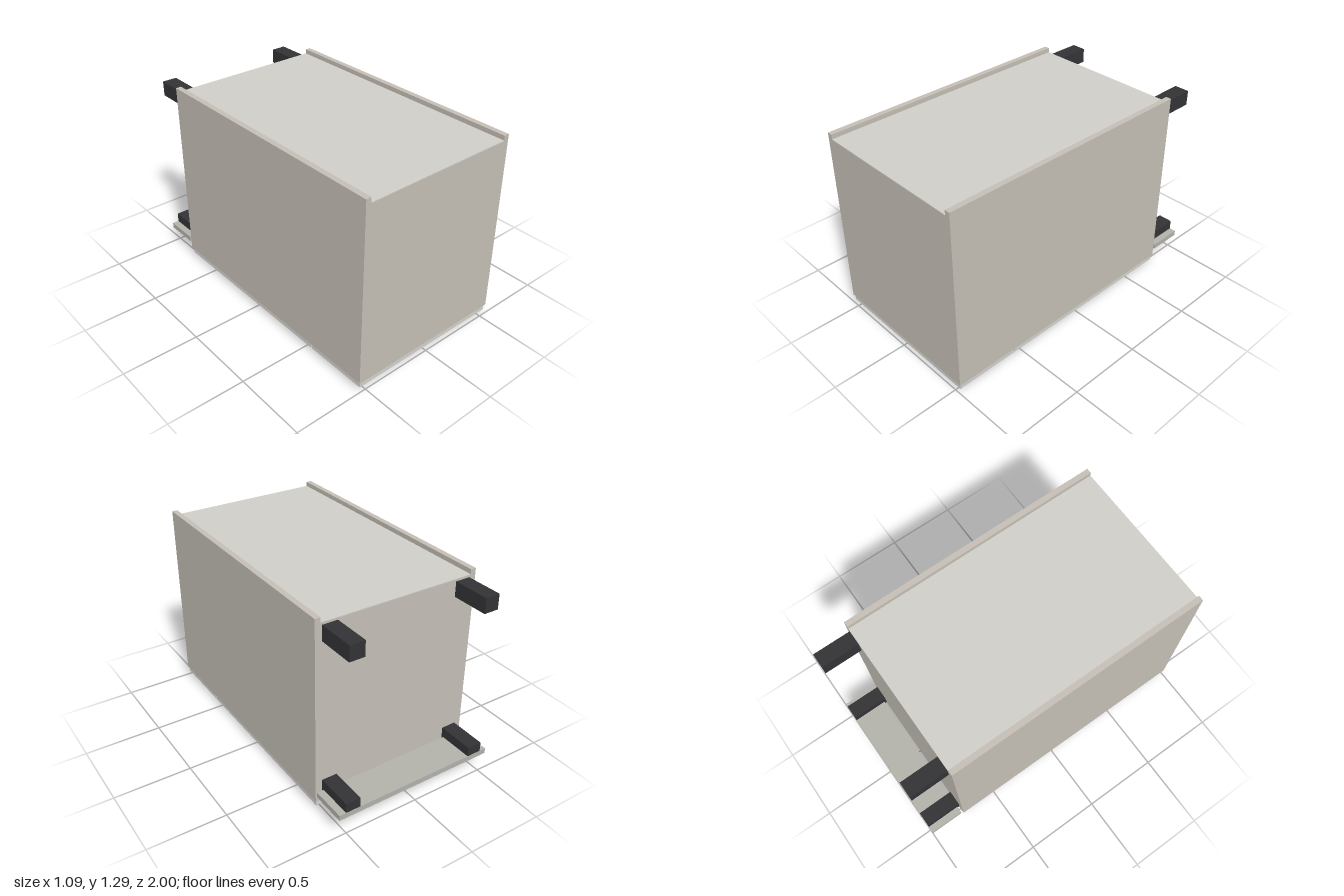
import * as THREE from 'three';

const mat = (color) => new THREE.MeshStandardMaterial({ color });

export function createModel() {
  const model = new THREE.Group();
  model.name = 'cabinetLyingOnItsFront';

  const carcass = mat(0xc4beb5);
  const backing = mat(0xcfcec8);
  const frontFinish = mat(0xd3d2cc);
  const plinthFinish = mat(0xb2b1aa);
  const black = mat(0x333336);
  const metal = mat(0x838085);

  // Box given by its minimum and maximum along each axis
  const panel = (name, material, [x0, x1], [y0, y1], [z0, z1]) => {
    const mesh = new THREE.Mesh(new THREE.BoxGeometry(x1 - x0, y1 - y0, z1 - z0), material);
    mesh.position.set((x0 + x1) / 2, (y0 + y1) / 2, (z0 + z1) / 2);
    mesh.name = name;
    model.add(mesh);
  };

  const W = 0.546;      // half width
  const T = 0.036;      // board thickness
  const inner = W - T;
  const bottomZ = -0.755;

  // Carcass: two sides, top and bottom boards, recessed back
  panel('leftSide', carcass, [inner, W], [0.07, 1.29], [bottomZ, 1]);
  panel('rightSide', carcass, [-W, -inner], [0.07, 1.29], [bottomZ, 1]);
  panel('topBoard', carcass, [-inner, inner], [0.07, 1.254], [1 - T, 1]);
  panel('bottomBoard', carcass, [-inner, inner], [0.07, 1.254], [bottomZ, bottomZ + T]);
  panel('backPanel', backing, [-inner, inner], [1.254, 1.26], [bottomZ, 1]);

  // Drawer front and door, each with a bar handle
  panel('drawerFront', frontFinish, [-0.537, 0.537], [0.03, 0.07], [0.565, 0.992]);
  panel('doorFront', frontFinish, [-0.537, 0.537], [0.03, 0.07], [-0.746, 0.557]);
  for (const [name, z] of [['drawerHandle', 0.778], ['doorHandle', 0.377]]) {
    panel(name, metal, [-0.118, 0.118], [0, 0.03], [z - 0.013, z + 0.013]);
  }

  // Four square legs
  for (const side of [-1, 1]) {
    const x = [side * 0.452 - 0.049, side * 0.452 + 0.049];
    panel('backLeg', black, x, [1.145, 1.243], [-1, bottomZ]);
    panel('frontLeg', black, x, [0.118, 0.215], [-0.999, bottomZ]);
  }

  // Plinth board across the front legs
  panel('plinth', plinthFinish, [-W, W], [0.115, 0.151], [-1, -0.77]);

  return model;
}
